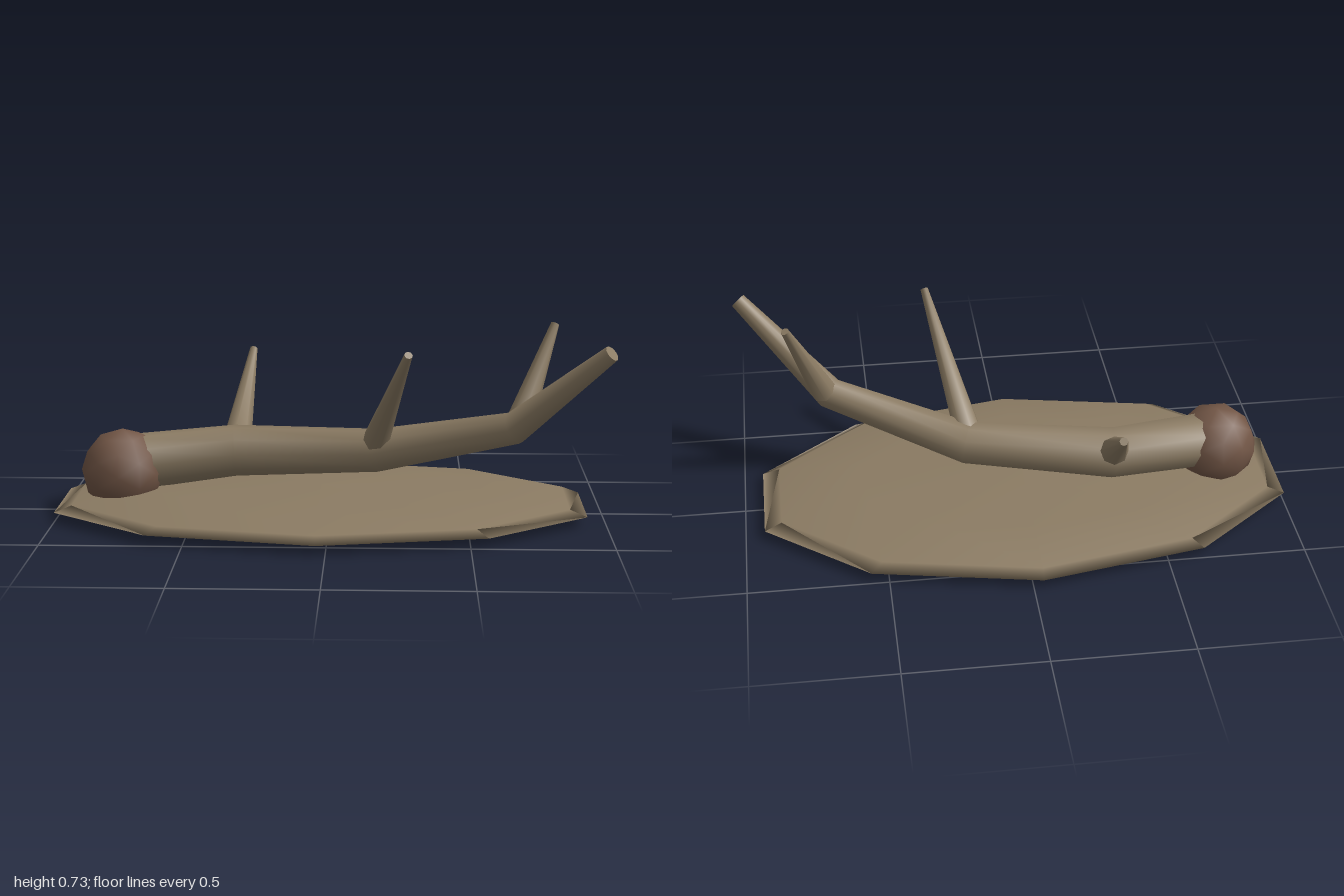
import * as THREE from 'three';

// Tapered limb: mitred rings along a list of [x, y, z, radius], with flat end caps
function limbGeometry(stations, sides = 8) {
  const pts = stations.map(([x, y, z]) => new THREE.Vector3(x, y, z));
  const pos = [], index = [];
  const last = pts.length - 1;
  const ring = (i) => {
    const before = pts[i].clone().sub(pts[Math.max(i - 1, 0)]).normalize();
    const after = pts[Math.min(i + 1, last)].clone().sub(pts[i]).normalize();
    const t = before.add(after).normalize();
    const u = new THREE.Vector3(0, 1, 0).cross(t).normalize();
    const v = t.clone().cross(u);
    const start = pos.length / 3;
    for (let k = 0; k < sides; k++) {
      const a = (k / sides) * Math.PI * 2;
      const p = pts[i].clone()
        .addScaledVector(u, Math.cos(a) * stations[i][3])
        .addScaledVector(v, Math.sin(a) * stations[i][3]);
      pos.push(p.x, p.y, p.z);
    }
    return start;
  };
  const rings = pts.map((_, i) => ring(i));
  for (let i = 0; i < last; i++) {
    for (let k = 0; k < sides; k++) {
      const n = (k + 1) % sides;
      const a = rings[i] + k, b = rings[i] + n, c = rings[i + 1] + n, d = rings[i + 1] + k;
      index.push(a, b, c, a, c, d);
    }
  }
  // Caps use their own rings so their edges stay sharp
  const first = ring(0), end = ring(last);
  for (let k = 1; k < sides - 1; k++) {
    index.push(first, first + k + 1, first + k, end, end + k, end + k + 1);
  }
  const g = new THREE.BufferGeometry();
  g.setAttribute('position', new THREE.Float32BufferAttribute(pos, 3));
  g.setIndex(index);
  g.computeVertexNormals();
  return g;
}

export function createModel() {
  const model = new THREE.Group();
  model.name = 'driftwoodLog';
  const wood = new THREE.MeshStandardMaterial({ color: 0x8b7b63 });
  wood.name = 'weatheredWood';
  const knot = new THREE.MeshStandardMaterial({ color: 0x725646 });
  knot.name = 'darkKnot';

  const add = (name, geometry, material) => {
    const mesh = new THREE.Mesh(geometry, material);
    mesh.name = name;
    model.add(mesh);
    return mesh;
  };

  // Low ten-sided mound, stretched along x
  const profile = [[0, 0.035], [0.88, 0.035], [1, 0.035], [0.935, 0.06], [0.61, 0.095], [0, 0.105]]
    .map(([r, y]) => new THREE.Vector2(r, y));
  const mound = add('mound', new THREE.LatheGeometry(profile, 10), wood);
  mound.scale.set(1.015, 1, 0.605);
  mound.position.x = -0.035;

  // Bent trunk
  add('trunk', limbGeometry([
    [-0.77, 0.18, 0, 0.105],
    [-0.36, 0.21, -0.095, 0.096],
    [0.17, 0.235, 0, 0.08],
    [0.66, 0.365, 0.205, 0.06],
    [0.975, 0.67, 0.405, 0.03],
  ], 10), wood);

  // Broken branches: base, then tip
  const branches = {
    backBranch: [[-0.355, 0.26, -0.16, 0.052], [-0.32, 0.527, -0.505, 0.015]],
    frontBranch: [[0.165, 0.27, 0.025, 0.052], [0.28, 0.662, 0.42, 0.015]],
    endBranch: [[0.68, 0.385, 0.19, 0.05], [0.808, 0.72, 0.063, 0.015]],
  };
  for (const [name, stations] of Object.entries(branches)) add(name, limbGeometry(stations), wood);

  // Round knot at the thick end
  add('rootKnot', new THREE.IcosahedronGeometry(0.155, 1), knot).position.set(-0.77, 0.155, 0);

  return model;
}
